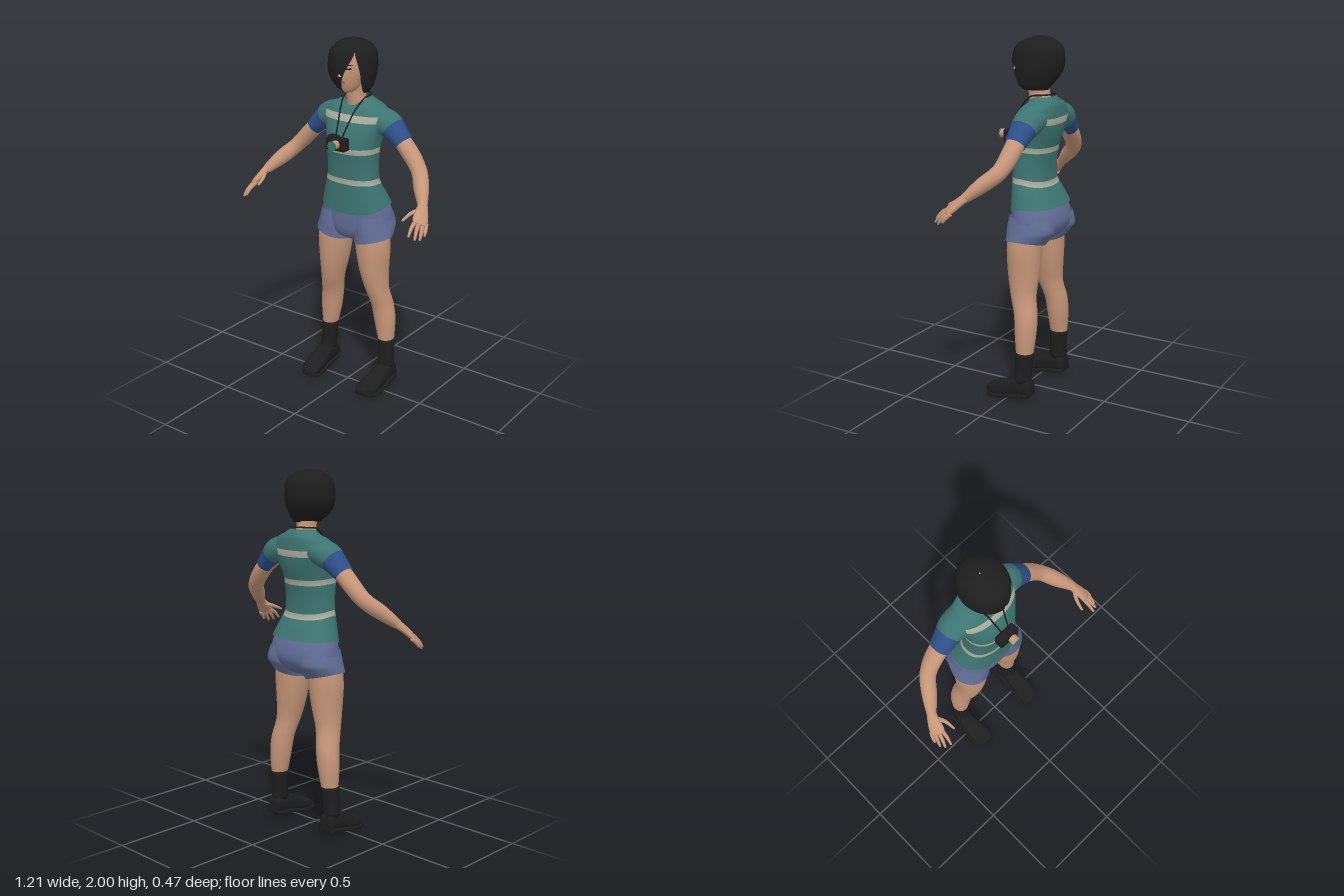
import * as THREE from 'three';
import { RoundedBoxGeometry } from 'three/addons/geometries/RoundedBoxGeometry.js';

const V = (x, y, z) => new THREE.Vector3(x, y, z);
const mat = (name, color, side = THREE.FrontSide) => {
  const m = new THREE.MeshStandardMaterial({ color, side });
  m.name = name;
  return m;
};

// Insert n smooth steps between table rows; a trailing colour index is kept whole
function smooth(rows, n = 3, colour = -1) {
  const out = [];
  for (let i = 0; i < rows.length - 1; i++) {
    const [a, b, c, d] = [i - 1, i, i + 1, i + 2].map(k => rows[Math.min(Math.max(k, 0), rows.length - 1)]);
    for (let s = 0; s < n; s++) {
      const t = s / n;
      out.push(b.map((v, k) => k === colour ? v : 0.5 * (2 * v + (c[k] - a[k]) * t
        + (2 * a[k] - 5 * v + 4 * c[k] - d[k]) * t * t + (3 * v - a[k] - 3 * c[k] + d[k]) * t * t * t)));
    }
  }
  out.push(rows[rows.length - 1]);
  return out;
}

// Skin a list of point rings; colourOf(i, j) picks the material group
function loft(rings, { closed = true, cap = false, colourOf = () => 0 } = {}) {
  const n = rings[0].length, pts = rings.flat(), buckets = [];
  const mid = pts.reduce((s, p) => s.add(p), V(0, 0, 0)).divideScalar(pts.length);
  const tri = (c, ...t) => (buckets[c] ??= []).push(t);
  for (let i = 0; i < rings.length - 1; i++) {
    for (let j = 0; j < (closed ? n : n - 1); j++) {
      const k = (j + 1) % n, a = i * n, b = a + n, c = colourOf(i, j);
      tri(c, a + j, a + k, b + j);
      tri(c, a + k, b + k, b + j);
    }
  }
  if (cap) {
    for (const e of [0, rings.length - 1]) {
      const centre = rings[e].reduce((s, p) => s.add(p), V(0, 0, 0)).divideScalar(n);
      pts.push(centre);
      for (let j = 0; j < n; j++) {
        const t = [e * n + j, e * n + (j + 1) % n, pts.length - 1];
        tri(0, ...(e ? t : t.reverse()));
      }
    }
  }
  let volume = 0;
  for (const t of buckets.flat()) {
    const [a, b, c] = t.map(k => pts[k].clone().sub(mid));
    volume += a.dot(b.cross(c));
  }
  const index = [], g = new THREE.BufferGeometry().setFromPoints(pts);
  buckets.forEach((list, c) => {
    g.addGroup(index.length, list.length * 3, c);
    for (const t of list) index.push(...(volume < 0 ? [t[0], t[2], t[1]] : t));
  });
  g.setIndex(index);
  g.computeVertexNormals();
  return g;
}

// Horizontal ring: half width, front and back z, front/back lift, sideways tilt
function oval(y, cx, rx, zf, zb, f = 0, b = 0, tilt = 0, p = 1, n = 32) {
  return Array.from({ length: n }, (_, j) => {
    const a = j / n * Math.PI * 2, s = Math.sin(a), c = Math.cos(a);
    const x = rx * Math.sign(s) * Math.abs(s) ** p;
    const z = (zf + zb) / 2 + (zf - zb) / 2 * Math.sign(c) * Math.abs(c) ** p;
    return V(cx + x, y + (c > 0 ? f : b) * Math.abs(c) + tilt * x, z);
  });
}

// Rings along a path of [x, y, z, radius along axis, radius across]
function sweep(rows, axis = V(0, 0, 1), n = 16) {
  const c = rows.map(r => V(r[0], r[1], r[2]));
  return c.map((p, i) => {
    const d = c[Math.min(i + 1, c.length - 1)].clone().sub(c[Math.max(i - 1, 0)]).normalize();
    const w = axis.clone().addScaledVector(d, -axis.dot(d)).normalize();
    const u = w.clone().cross(d);
    return Array.from({ length: n }, (_, j) => {
      const a = j / n * Math.PI * 2;
      return p.clone().addScaledVector(w, Math.cos(a) * rows[i][3]).addScaledVector(u, Math.sin(a) * rows[i][4]);
    });
  });
}

function mirrored(geo) {
  const g = geo.clone().scale(-1, 1, 1), ix = g.index.array;
  for (let i = 0; i < ix.length; i += 3) [ix[i + 1], ix[i + 2]] = [ix[i + 2], ix[i + 1]];
  g.computeVertexNormals();
  return g;
}

export function createModel() {
  const model = new THREE.Group();
  const skin = mat('skin', 0xc69679), teal = mat('teal cloth', 0x3d7572, THREE.DoubleSide);
  const cream = mat('cream stripe', 0xa9ad9b, THREE.DoubleSide), blue = mat('blue sleeve', 0x2f4f8a, THREE.DoubleSide);
  const denim = mat('denim', 0x616d96, THREE.DoubleSide), black = mat('black', 0x1e1e1e, THREE.DoubleSide);
  const lip = mat('lips', 0x9f6455);
  const add = (name, geo, m, x = 0, y = 0, z = 0) => {
    const mesh = new THREE.Mesh(geo, m);
    mesh.name = name;
    mesh.position.set(x, y, z);
    model.add(mesh);
    return mesh;
  };
  const pair = (name, geo, m) => {
    add(name + 'Left', geo, m);
    add(name + 'Right', mirrored(geo), m);
  };

  // Striped shirt: y, half width, front z, back z, front lift, back lift, colour
  const shirt = smooth([
    [1.095, .205, .05, -.225, -.045, 0, 0], [1.17, .178, .05, -.19, -.01, -.01, 0],
    [1.22, .16, .05, -.165, 0, -.02, 1], [1.25, .152, .05, -.155, 0, -.02, 0],
    [1.33, .148, .055, -.155, 0, -.015, 0], [1.395, .15, .065, -.165, 0, -.01, 1],
    [1.425, .152, .067, -.17, 0, -.01, 0], [1.5, .168, .054, -.19, 0, -.02, 0],
    [1.565, .192, .025, -.2, 0, -.025, 1], [1.6, .197, .005, -.2, 0, -.025, 0],
    [1.635, .165, -.018, -.195, 0, 0, 0], [1.66, .11, -.03, -.185, -.012, 0, 0],
    [1.685, .07, -.035, -.165, -.025, 0, 0]], 3, 6);
  add('shirt', loft(shirt.map(r => oval(r[0], 0, r[1], r[2], r[3], r[4], r[5], 0, .85, 40)),
    { colourOf: i => shirt[i][6] }), [teal, cream]);

  // Sleeves: teal shoulder, blue cuff with a tan strip on top
  const sleeve = smooth([[.12, 1.575, -.105, .085, .07], [.19, 1.553, -.108, .08, .073],
    [.235, 1.522, -.105, .07, .062], [.297, 1.465, -.1, .058, .048]]);
  pair('sleeve', loft(sweep(sleeve, V(0, 0, 1), 28), {
    colourOf: (i, j) => i < 5 ? 0 : (j === 20 || j === 21) ? 2 : 1,
  }), [teal, blue, skin]);

  // Arms and hands
  pair('arm', loft(sweep(smooth([[.26, 1.5, -.1, .05, .042], [.33, 1.43, -.098, .052, .046],
    [.41, 1.342, -.075, .045, .042], [.47, 1.275, -.005, .04, .042], [.525, 1.21, .065, .025, .027]]))), skin);
  const across = V(.75, -.35, -.55);
  pair('palm', loft(sweep(smooth([[.52, 1.217, .057, .025, .024], [.537, 1.19, .09, .034, .02],
    [.553, 1.155, .13, .042, .017], [.56, 1.138, .153, .033, .011]]), across), { cap: true }), skin);
  const fingers = {
    thumb: [[.525, 1.195, .085], [.495, 1.18, .135], [.483, 1.155, .192]],
    indexFinger: [[.535, 1.155, .14], [.539, 1.13, .19], [.545, 1.092, .228]],
    middleFinger: [[.551, 1.145, .14], [.565, 1.115, .185], [.575, 1.077, .215]],
    ringFinger: [[.567, 1.138, .13], [.583, 1.107, .165], [.59, 1.072, .19]],
    littleFinger: [[.58, 1.135, .115], [.592, 1.11, .14], [.597, 1.085, .157]],
  };
  for (const [name, p] of Object.entries(fingers)) {
    const radii = [.012, .0105, .006];
    pair(name, loft(sweep(smooth(p.map((q, i) => [...q, radii[i], radii[i]])), across, 8), { cap: true }), skin);
  }

  // Shorts: hips and two legs with slanted hems
  add('shortsHips', loft(smooth([[1.12, .19, .04, -.2], [1.06, .208, .042, -.225], [1, .215, .042, -.235],
    [.95, .2, .038, -.215], [.905, .14, .02, -.165], [.88, .04, -.02, -.1]])
    .map(r => oval(r[0], 0, r[1], r[2], r[3], 0, 0, 0, .9))), denim);
  pair('shortsLeg', loft(smooth([[1.04, .112, .095, .035, -.22, 0], [.97, .118, .107, .044, -.232, .05],
    [.93, .123, .109, .044, -.205, .15], [.893, .129, .108, .045, -.175, .24]])
    .map(r => oval(r[0], r[1], r[2], r[3], r[4], 0, 0, r[5]))), denim);

  // Legs and socks: y, centre x, half width, front z, back z
  pair('leg', loft(smooth([[.96, .12, .096, .032, -.16], [.85, .129, .099, .037, -.158], [.72, .138, .083, .028, -.15],
    [.6, .155, .066, .005, -.142], [.5, .175, .064, -.028, -.16], [.4, .188, .062, -.04, -.162],
    [.27, .2, .044, -.052, -.15]]).map(r => oval(...r))), skin);
  pair('sock', loft(smooth([[.285, .2, .049, -.047, -.155], [.2, .203, .045, -.048, -.145],
    [.11, .207, .045, -.04, -.143]]).map(r => oval(...r)), { cap: true }), black);

  // Shoes: z, centre x, half width, bottom y, top y
  const shoe = smooth([[-.148, .205, .028, .045, .1], [-.135, .205, .045, .036, .13], [-.06, .207, .05, .026, .136],
    [-.02, .207, .052, .02, .122], [.04, .205, .058, .009, .095], [.09, .2, .059, .006, .075],
    [.125, .191, .043, .012, .055], [.14, .185, .02, .02, .04]]);
  const slice = ([z, cx, hw, y0, y1], p) => oval(0, 0, hw, (y1 - y0) / 2, (y0 - y1) / 2, 0, 0, 0, p, 24)
    .map(v => V(cx + v.x, (y0 + y1) / 2 + v.z, z));
  pair('shoe', loft(shoe.map(r => slice(r, .75)), { cap: true }), black);
  pair('shoeSole', loft(shoe.map(([z, x, w, y0]) => slice([z * 1.01, x, w + .005, y0 - .006, y0 + .016], .35)),
    { cap: true }), black);

  // Neck, head and face
  add('neck', loft(smooth([[1.63, 0, .062, -.03, -.15], [1.69, 0, .048, -.018, -.14], [1.77, 0, .05, -.015, -.13]])
    .map(r => oval(...r))), skin);
  add('head', loft(smooth([[1.722, 0, .022, .02, -.04], [1.742, 0, .044, .038, -.07], [1.785, 0, .062, .052, -.1],
    [1.83, 0, .074, .06, -.13], [1.88, 0, .08, .06, -.16], [1.93, 0, .074, .046, -.16], [1.96, 0, .045, .01, -.12]])
    .map(r => oval(...r)), { cap: true }), skin);
  add('nose', new THREE.ConeGeometry(.014, .052, 10), skin, 0, 1.843, .066).rotation.x = -.15;
  add('mouth', new RoundedBoxGeometry(.036, .012, .008, 2, .003), lip, 0, 1.785, .051);
  for (const s of [1, -1]) {
    add('eye', new THREE.BoxGeometry(.026, .009, .006), black, s * .04, 1.858, .047).rotation.y = s * .45;
    add('eyebrow', new THREE.BoxGeometry(.034, .005, .006), black, s * .042, 1.878, .047).rotation.y = s * .45;
  }

  // Bob hair: y, centre x, centre z, half width, half depth, fringe angle, left edge angle
  const hair = smooth([[2, -.025, -.075, .004, .004, 42, 42], [1.992, -.022, -.075, .05, .05, 42, 42],
    [1.97, -.017, -.07, .09, .1, 42, 42], [1.935, -.014, -.068, .12, .135, 41, 43],
    [1.88, -.013, -.065, .128, .145, 28, 50], [1.83, -.012, -.063, .128, .142, 16, 55],
    [1.78, -.002, -.055, .113, .125, 5, 58], [1.745, .012, -.05, .09, .105, -6, 64],
    [1.72, .02, -.055, .06, .085, -16, 75]]);
  add('hair', loft(hair.map(([y, cx, cz, rx, rz, a0, a1]) => Array.from({ length: 49 }, (_, j) => {
    const a = THREE.MathUtils.degToRad(a1 + (a0 + 360 - a1) * j / 48);
    return V(cx + rx * Math.sin(a), y, cz + rz * Math.cos(a));
  })), { closed: false }), black);

  // Camera on a neck strap
  add('cameraBody', new RoundedBoxGeometry(.125, .07, .055, 2, .01), black, -.003, 1.457, .09);
  add('cameraTop', new RoundedBoxGeometry(.055, .03, .045, 2, .008), black, -.03, 1.487, .09);
  add('cameraLens', new THREE.CylinderGeometry(.024, .024, .04, 24), skin, .008, 1.46, .135).rotation.x = Math.PI / 2;
  add('lensGlass', new THREE.CylinderGeometry(.027, .027, .006, 24), teal, .008, 1.46, .157).rotation.x = Math.PI / 2;
  const half = [[.02, 1.485, .085], [.034, 1.565, .04], [.048, 1.63, .0], [.066, 1.685, -.06], [.06, 1.695, -.13]];
  const path = [...half.map(p => V(...p)), V(0, 1.697, -.168), ...half.map(([x, y, z]) => V(-x, y, z)).reverse()];
  add('cameraStrap', new THREE.TubeGeometry(new THREE.CatmullRomCurve3(path), 80, .0045, 6), black);
  return model;
}
